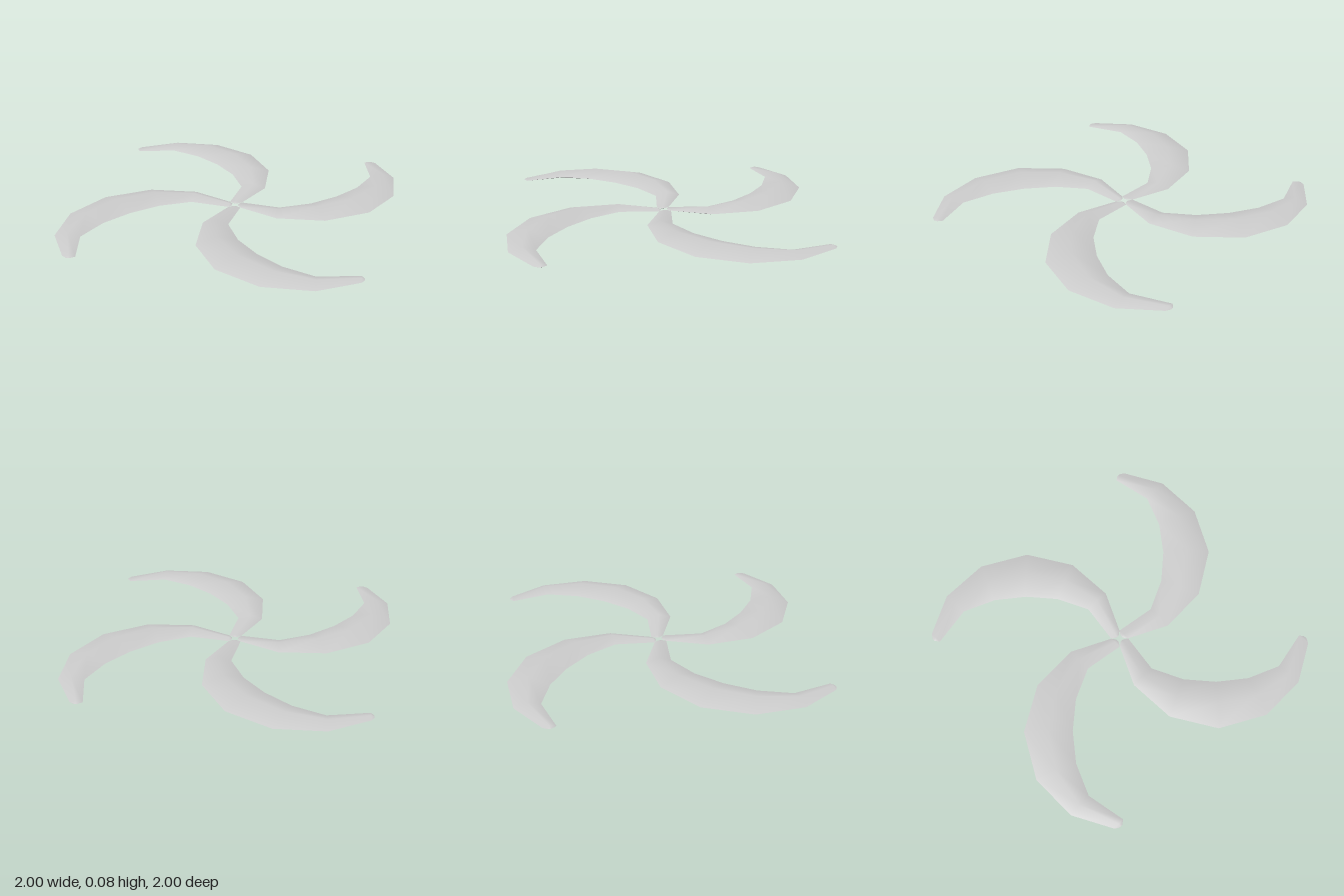
import * as THREE from 'three';

const MID = 0.039; // height of the sharp rim

// Half of a crescent blade: [innerX, innerZ, outerX, outerZ, ridge height above rim]
const HALF = [
  [0.018, 0.005, 0.005, 0.018, 0],
  [0.045, 0.0, 0.0, 0.045, 0.007],
  [0.165, 0.17, 0.07, 0.26, 0.022],
  [0.33, 0.233, 0.25, 0.433, 0.033],
  [0.5, 0.25, 0.5, 0.5, 0.038],
];

function bladeGeometry() {
  // The second half mirrors the first about x = 0.5
  const mirrored = HALF.slice(0, -1).reverse()
    .map(([ix, iz, ox, oz, h]) => [1 - ix, iz, 1 - ox, oz, h]);
  const stations = [...HALF, ...mirrored];
  const position = [];
  const index = [];

  // Upper and lower skins keep separate vertices, so the rim stays sharp
  for (const side of [1, -1]) {
    const base = position.length / 3;
    for (const [ix, iz, ox, oz, h] of stations) {
      position.push(ix, MID, iz);
      position.push((ix + ox) / 2, MID + side * h, (iz + oz) / 2);
      position.push(ox, MID, oz);
    }
    for (let i = 0; i < stations.length - 1; i++) {
      for (let j = 0; j < 2; j++) {
        const a = base + i * 3 + j, b = a + 1, c = a + 3, d = a + 4;
        if (side > 0) index.push(a, b, c, b, d, c);
        else index.push(a, c, b, b, c, d);
      }
    }
  }

  const geometry = new THREE.BufferGeometry();
  geometry.setAttribute('position', new THREE.Float32BufferAttribute(position, 3));
  geometry.setIndex(index);
  geometry.computeVertexNormals();
  return geometry;
}

export function createModel() {
  const group = new THREE.Group();
  group.name = 'fourBladePinwheel';
  const material = new THREE.MeshStandardMaterial({ color: 0xcccccc });
  const geometry = bladeGeometry();

  // Four crescent blades around the centre
  for (let i = 0; i < 4; i++) {
    const blade = new THREE.Mesh(geometry, material);
    blade.name = `blade${i + 1}`;
    blade.rotation.y = (i * Math.PI) / 2;
    group.add(blade);
  }
  return group;
}
